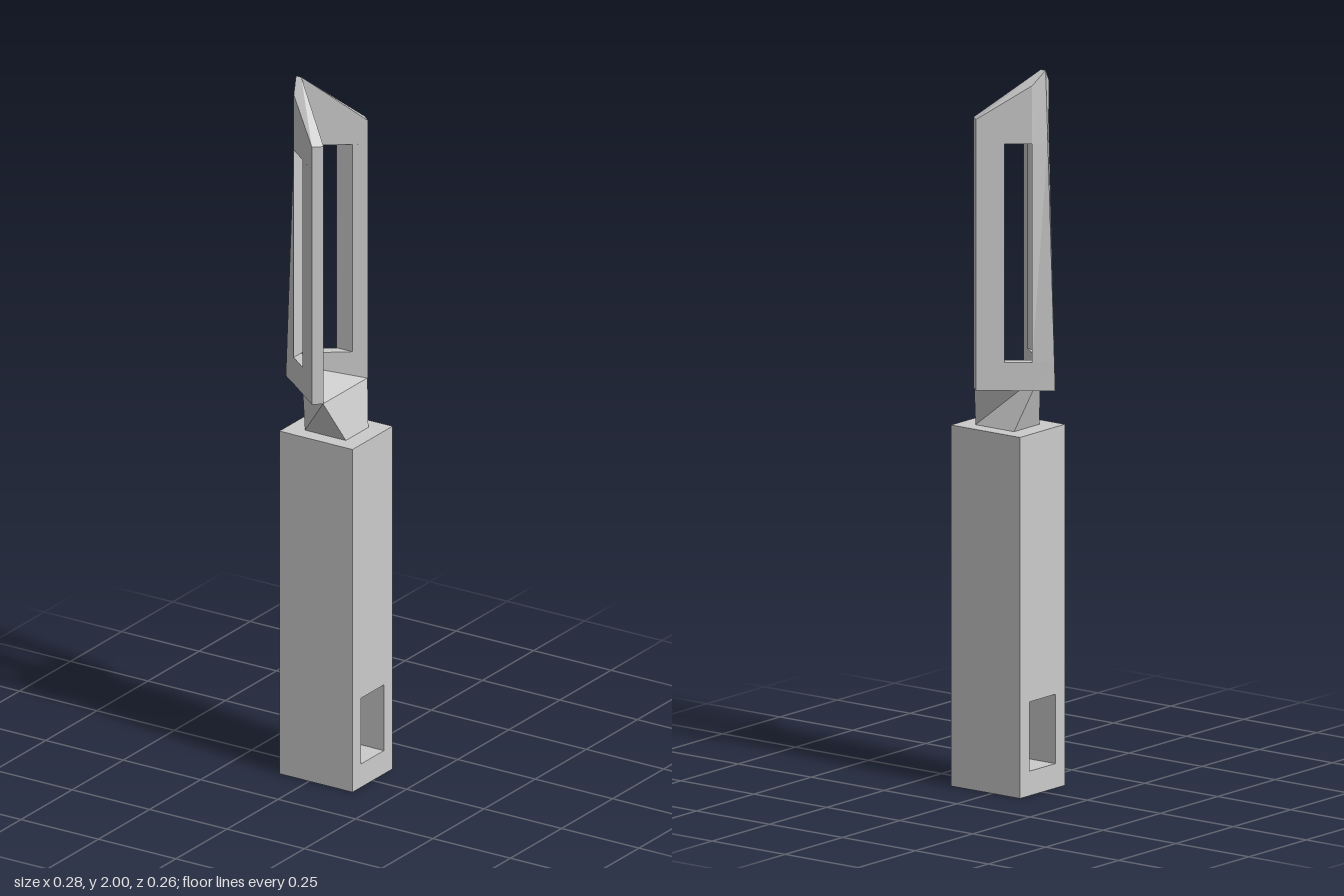
import * as THREE from 'three';

const material = new THREE.MeshStandardMaterial({ color: 0xcccccc, flatShading: true });

function addMesh(parent, name, geometry) {
  const mesh = new THREE.Mesh(geometry, material);
  mesh.name = name;
  parent.add(mesh);
}

// Closed solid between two matching outlines of [x, y, z] points
function loft(bottom, top) {
  const flat = bottom.map(([x, , z]) => new THREE.Vector2(x, z));
  if (THREE.ShapeUtils.area(flat) > 0) return loft([...bottom].reverse(), [...top].reverse());
  const positions = [];
  const tri = (...points) => {
    const [a, b, c] = points.map((p) => new THREE.Vector3(...p));
    if (b.clone().sub(a).cross(c.clone().sub(a)).length() > 1e-8) positions.push(...points.flat());
  };
  bottom.forEach((b, i) => {
    const j = (i + 1) % bottom.length;
    tri(b, bottom[j], top[j]);
    tri(b, top[j], top[i]);
  });
  for (const t of THREE.ShapeUtils.triangulateShape(flat, [])) {
    const up = THREE.ShapeUtils.area(t.map((i) => flat[i])) < 0;
    const [a, b, c] = up ? t : [...t].reverse();
    tri(top[a], top[b], top[c]);
    tri(bottom[c], bottom[b], bottom[a]);
  }
  const geometry = new THREE.BufferGeometry();
  geometry.setAttribute('position', new THREE.Float32BufferAttribute(positions, 3));
  geometry.computeVertexNormals();
  return geometry;
}

// Heights of the blade and its windows
const Y0 = 1.117, WIN0 = 1.195, WIN1 = 1.8, SHOULDER = 1.868, TIP = 2;
const ridgeX = (y) => -0.14 + 0.033 * (y - Y0) / (TIP - Y0);

// V-shaped blade section; slope lowers the top towards the open ends
function vSection(y, slope = 0) {
  const kneeY = y - slope * 0.29, endY = y - slope;
  const half = [[-0.09, kneeY, 0.037], [0.03, endY, 0.13], [0.054, endY, 0.109]];
  const mirrored = half.map(([x, h, z]) => [x, h, -z]).reverse();
  return [[ridgeX(y), y, 0], ...half, [-0.09, y, 0], ...mirrored];
}

export function createModel() {
  const model = new THREE.Group();

  // Handle with a hanging hole running side to side
  const outline = new THREE.Shape();
  outline.moveTo(-0.098, 0).lineTo(0.098, 0).lineTo(0.098, 1).lineTo(-0.098, 1).closePath();
  const hole = new THREE.Path();
  hole.moveTo(-0.056, 0.068).lineTo(-0.056, 0.26).lineTo(0.056, 0.26).lineTo(0.056, 0.068).closePath();
  outline.holes.push(hole);
  const handle = new THREE.ExtrudeGeometry(outline, { depth: 0.236, bevelEnabled: false });
  addMesh(model, 'handle', handle.rotateY(Math.PI / 2).translate(-0.096, 0, 0));

  // Neck: rectangle at the handle, sloping triangle inside the blade
  const apex = [-0.09, 1.157, 0];
  addMesh(model, 'neck', loft(
    [[-0.042, 1, 0.055], [0.09, 1, 0.055], [0.09, 1, -0.055], [-0.042, 1, -0.055]],
    [apex, [0.052, Y0, 0.109], [0.052, Y0, -0.109], apex]
  ));

  // Blade: solid V ends joined by a ridge and two side bars around the windows
  const blade = new THREE.Group();
  blade.name = 'blade';
  model.add(blade);
  addMesh(blade, 'bladeBase', loft(vSection(Y0), vSection(WIN0)));
  addMesh(blade, 'bladeTip', loft(vSection(WIN1), vSection(TIP, TIP - SHOULDER)));
  const ridge = (y) => [[ridgeX(y), y, 0], [-0.09, y, 0.037], [-0.09, y, -0.037]];
  addMesh(blade, 'ridge', loft(ridge(WIN0), ridge(WIN1)));
  for (const [name, s] of [['frontBar', 1], ['backBar', -1]]) {
    const bar = (y) => [[-0.031, y, 0.083 * s], [0.03, y, 0.13 * s], [0.054, y, 0.109 * s], [0.02, y, 0.083 * s]];
    addMesh(blade, name, loft(bar(WIN0), bar(WIN1)));
  }
  return model;
}
